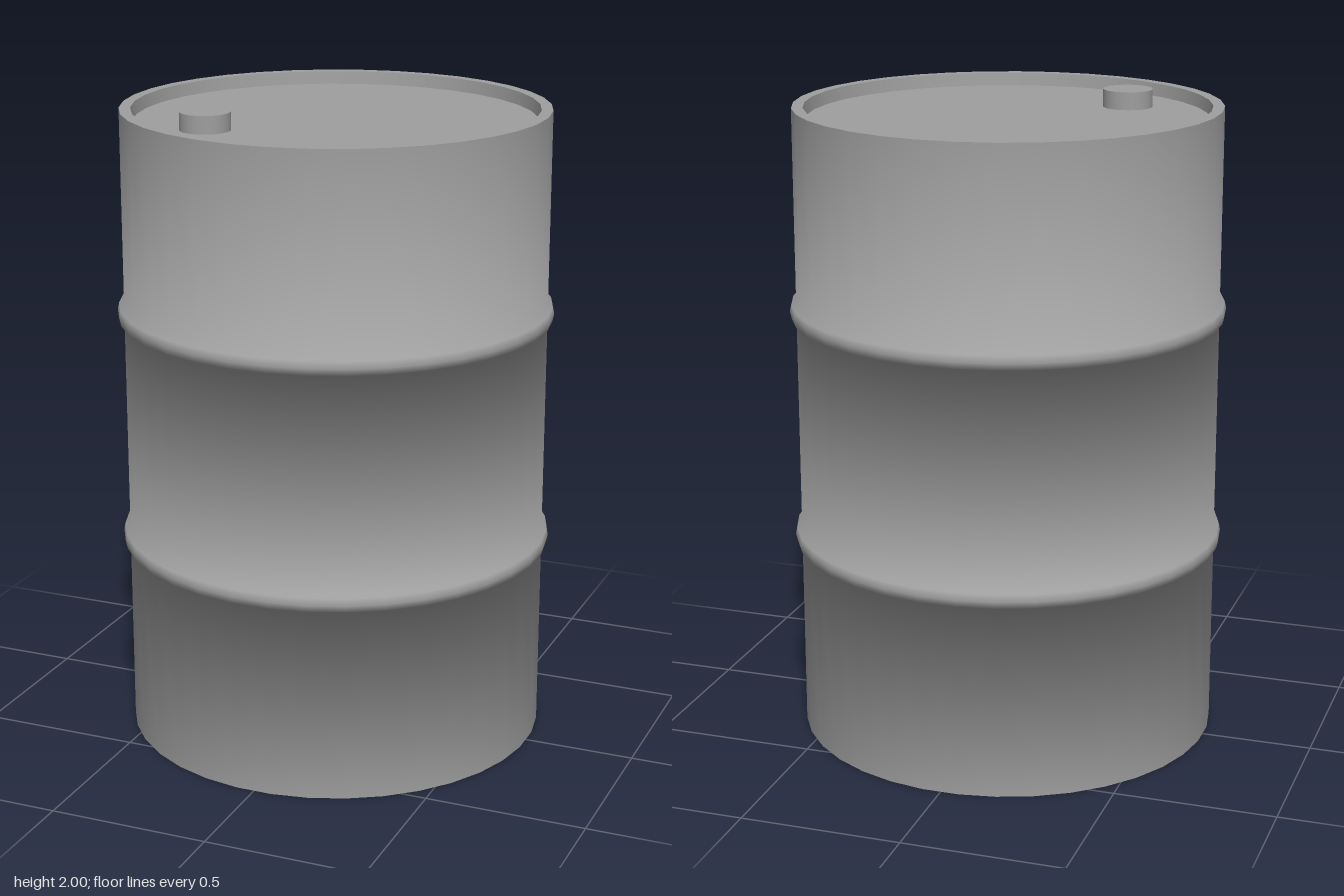
import * as THREE from 'three';

const SIDES = 36;
const R = 0.655, RIM = 0.62, LID = 0.615;
const TOP = 1.985, RECESS = 0.04;

export function createModel() {
  const drum = new THREE.Group();
  drum.name = 'drum';
  const material = new THREE.MeshStandardMaterial({ color: 0x9e9e9e });

  const add = (name, geometry) => {
    const mesh = new THREE.Mesh(geometry, material);
    mesh.name = name;
    drum.add(mesh);
    return mesh;
  };
  // Turned surface, with flat sides facing the axes
  const turn = (name, points) => add(name, new THREE.LatheGeometry(
    points.map(([r, y]) => new THREE.Vector2(r, y)), SIDES, Math.PI / SIDES));

  // Outer wall with two rolled hoops; each point is radius, height, normal tilt in degrees
  const hoop = (y) => [[R, y - 0.033, -42], [R + 0.015, y - 0.022, -45], [R + 0.02, y, 0],
    [R + 0.015, y + 0.022, 45], [R, y + 0.033, 42]];
  const profile = [[R, 0, 0], ...hoop(0.633), ...hoop(1.357), [R, TOP, 0]];
  const wall = turn('wall', profile);

  // Soft blend from wall into hoops
  const { position, normal } = wall.geometry.attributes;
  for (let i = 0; i < normal.count; i++) {
    const [r, , degrees] = profile[i % profile.length];
    const tilt = THREE.MathUtils.degToRad(degrees);
    const out = Math.cos(tilt) / r;
    normal.setXYZ(i, position.getX(i) * out, Math.sin(tilt), position.getZ(i) * out);
  }

  // Raised rim and sunken panel at each end; separate turns keep the edges sharp
  const end = (name, y, dir) => {
    const part = (label, points) => turn(name + label, dir > 0 ? points : points.reverse());
    const panelY = y - dir * RECESS;
    part('Rim', [[R, y], [RIM, y]]);
    part('RimInside', [[RIM, y], [LID, panelY]]);
    part('Panel', [[LID, panelY], [0, panelY]]);
  };
  end('top', TOP, 1);
  end('bottom', 0, -1);

  // Filler cap on the lid
  const capHeight = 2 - (TOP - RECESS);
  const cap = add('fillerCap', new THREE.CylinderGeometry(0.077, 0.077, capHeight, SIDES));
  cap.position.set(-0.292, 2 - capHeight / 2, 0.305);

  return drum;
}
